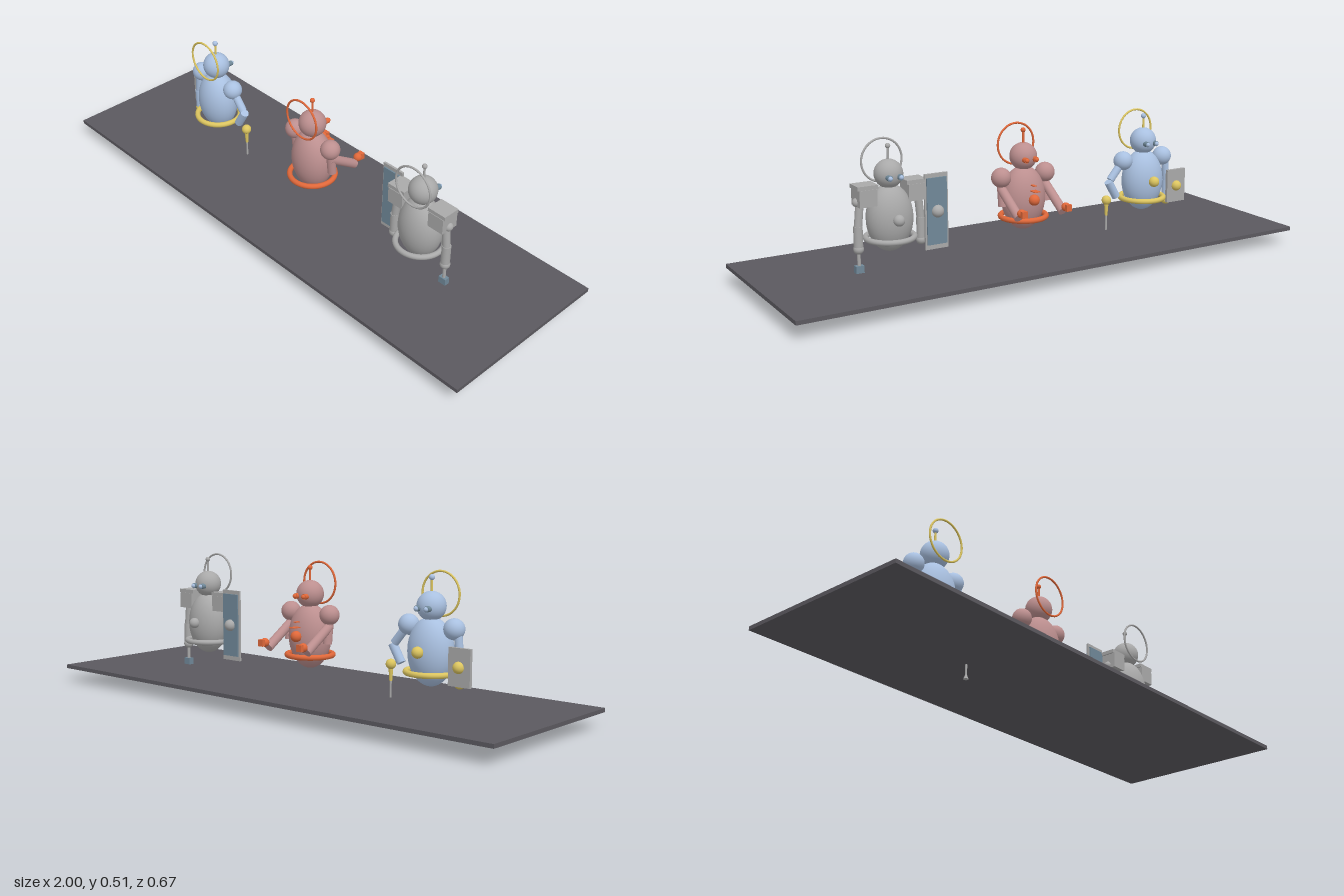
import * as THREE from 'three';

const mat = (name, color) => {
  const m = new THREE.MeshStandardMaterial({ color });
  m.name = name;
  return m;
};

export function createModel() {
  const root = new THREE.Group();
  root.name = 'threeRobots';
  const blue = mat('pale blue', 0xa9c0e0);
  const pink = mat('dusty pink', 0xbc8f8f);
  const grey = mat('grey', 0xa9a9a9);
  const gold = mat('gold', 0xdcc560);
  const orange = mat('orange', 0xe0683a);
  const slate = mat('slate', 0x708898);
  const dark = mat('dark floor', 0x5b595f);

  const V = (x, y, z) => new THREE.Vector3(x, y, z);
  const add = (parent, name, geo, m, x = 0, y = 0, z = 0) => {
    const mesh = new THREE.Mesh(geo, m);
    mesh.name = name;
    mesh.position.set(x, y, z);
    parent.add(mesh);
    return mesh;
  };
  const box = (p, name, m, w, h, d, x, y, z) => add(p, name, new THREE.BoxGeometry(w, h, d), m, x, y, z);
  const ball = (p, name, m, r, x, y, z) => add(p, name, new THREE.SphereGeometry(r, 28, 18), m, x, y, z);
  // Cylinder running from point a to point b
  const rod = (p, name, m, a, b, ra, rb = ra) => {
    const dir = b.clone().sub(a);
    const mesh = add(p, name, new THREE.CylinderGeometry(rb, ra, dir.length(), 24), m);
    mesh.position.copy(a).add(b).multiplyScalar(0.5);
    mesh.quaternion.setFromUnitVectors(V(0, 1, 0), dir.normalize());
    return mesh;
  };

  // Floor slab
  box(root, 'floor', dark, 2, 0.014, 0.667, 0, 0.06, 0);

  // Body, head, belt, halo, antenna and face shared by every robot; the face looks to -z
  const robot = (name, x, main, accent, eye, tip, tipR) => {
    const g = new THREE.Group();
    g.name = name;
    g.position.x = x;
    root.add(g);
    ball(g, 'body', main, 1, 0, 0.245, 0).scale.set(0.083, 0.117, 0.07);
    ball(g, 'head', main, 0.05, 0, 0.397, 0);
    add(g, 'belt', new THREE.TorusGeometry(0.083, 0.01, 12, 48), accent, 0, 0.177, 0).rotation.x = Math.PI / 2;
    add(g, 'halo', new THREE.TorusGeometry(0.075, 0.0038, 10, 48), accent, 0, 0.434, 0.052);
    rod(g, 'antenna', accent, V(0, 0.44, 0), V(0, 0.487, 0), 0.004);
    ball(g, 'antennaTip', tip, tipR, 0, 0.492, 0);
    ball(g, 'navel', accent, 0.02, 0, 0.25, -0.075);
    for (const s of [-1, 1]) {
      rod(g, 'eyeSocket', eye, V(s * 0.02, 0.392, -0.035), V(s * 0.02, 0.392, -0.058), 0.01);
      ball(g, 'eye', eye === orange ? orange : blue, 0.008, s * 0.02, 0.392, -0.059);
    }
    return g;
  };

  // Straight hanging arm ending in a ball hand
  const hangingArm = (g, s, main, hand) => {
    rod(g, 'upperArm', main, V(s * 0.108, 0.31, 0), V(s * 0.117, 0.22, 0), 0.014);
    rod(g, 'forearm', main, V(s * 0.117, 0.23, 0), V(s * 0.117, 0.155, 0), 0.016);
    ball(g, 'hand', hand, 0.018, s * 0.117, 0.15, 0);
  };

  // Blue robot with a shield and a cane
  const b = robot('blueRobot', -0.535, blue, gold, slate, blue, 0.01);
  for (const s of [-1, 1]) ball(b, 'shoulder', blue, 0.036, s * 0.092, 0.328, 0);
  hangingArm(b, -1, blue, gold);
  box(b, 'shield', grey, 0.085, 0.128, 0.012, -0.138, 0.211, -0.031);
  ball(b, 'shieldKnob', gold, 0.02, -0.137, 0.211, -0.038);
  rod(b, 'upperArm', blue, V(0.1, 0.32, 0), V(0.15, 0.26, 0), 0.015);
  rod(b, 'forearm', blue, V(0.159, 0.255, 0), V(0.122, 0.193, 0), 0.016);
  ball(b, 'caneKnob', gold, 0.018, 0.166, 0.184, 0);
  rod(b, 'caneHandle', gold, V(0.166, 0.125, 0), V(0.166, 0.18, 0), 0.005, 0.009);
  rod(b, 'caneShaft', grey, V(0.166, 0.012, 0), V(0.166, 0.13, 0), 0.0035);
  rod(b, 'caneTip', grey, V(0.166, 0, 0), V(0.166, 0.017, 0), 0.009, 0.003);

  // Pink robot with both arms reaching forward
  const p = robot('pinkRobot', 0, pink, orange, orange, orange, 0.009);
  for (const s of [-1, 1]) {
    ball(p, 'shoulder', pink, 0.036, s * 0.092, 0.328, 0);
    rod(p, 'upperArm', pink, V(s * 0.092, 0.32, 0), V(s * 0.092, 0.225, -0.01), 0.016);
    rod(p, 'forearm', pink, V(s * 0.092, 0.288, 0), V(s * 0.092, 0.207, -0.122), 0.017);
    ball(p, 'hand', orange, 0.016, s * 0.092, 0.227, -0.14);
    box(p, 'fingers', orange, 0.022, 0.024, 0.014, s * 0.092, 0.227, -0.157);
  }
  box(p, 'chestPlate', orange, 0.024, 0.003, 0.034, 0, 0.283, -0.081);
  box(p, 'chestTab', orange, 0.012, 0.003, 0.024, 0, 0.302, -0.071);

  // Grey robot with square shoulders and a door-shaped shield
  const g = robot('greyRobot', 0.53, grey, grey, slate, grey, 0.009);
  for (const s of [-1, 1]) {
    box(g, 'shoulderBlock', grey, 0.064, 0.058, 0.07, s * 0.09, 0.328, 0);
    box(g, 'shoulderCap', grey, 0.074, 0.014, 0.066, s * 0.09, 0.364, 0);
    ball(g, 'armJoint', grey, 0.016, s * 0.118, 0.312, 0);
    hangingArm(g, s, grey, grey);
  }
  rod(g, 'handRod', grey, V(0.117, 0.085, 0), V(0.117, 0.14, 0), 0.006);
  box(g, 'handWeight', slate, 0.03, 0.025, 0.02, 0.117, 0.08, 0);
  box(g, 'doorFrame', grey, 0.088, 0.267, 0.008, -0.161, 0.2515, -0.031);
  box(g, 'doorPanel', slate, 0.076, 0.236, 0.018, -0.161, 0.253, -0.031);
  ball(g, 'doorKnob', grey, 0.022, -0.162, 0.253, -0.041);

  return root;
}
